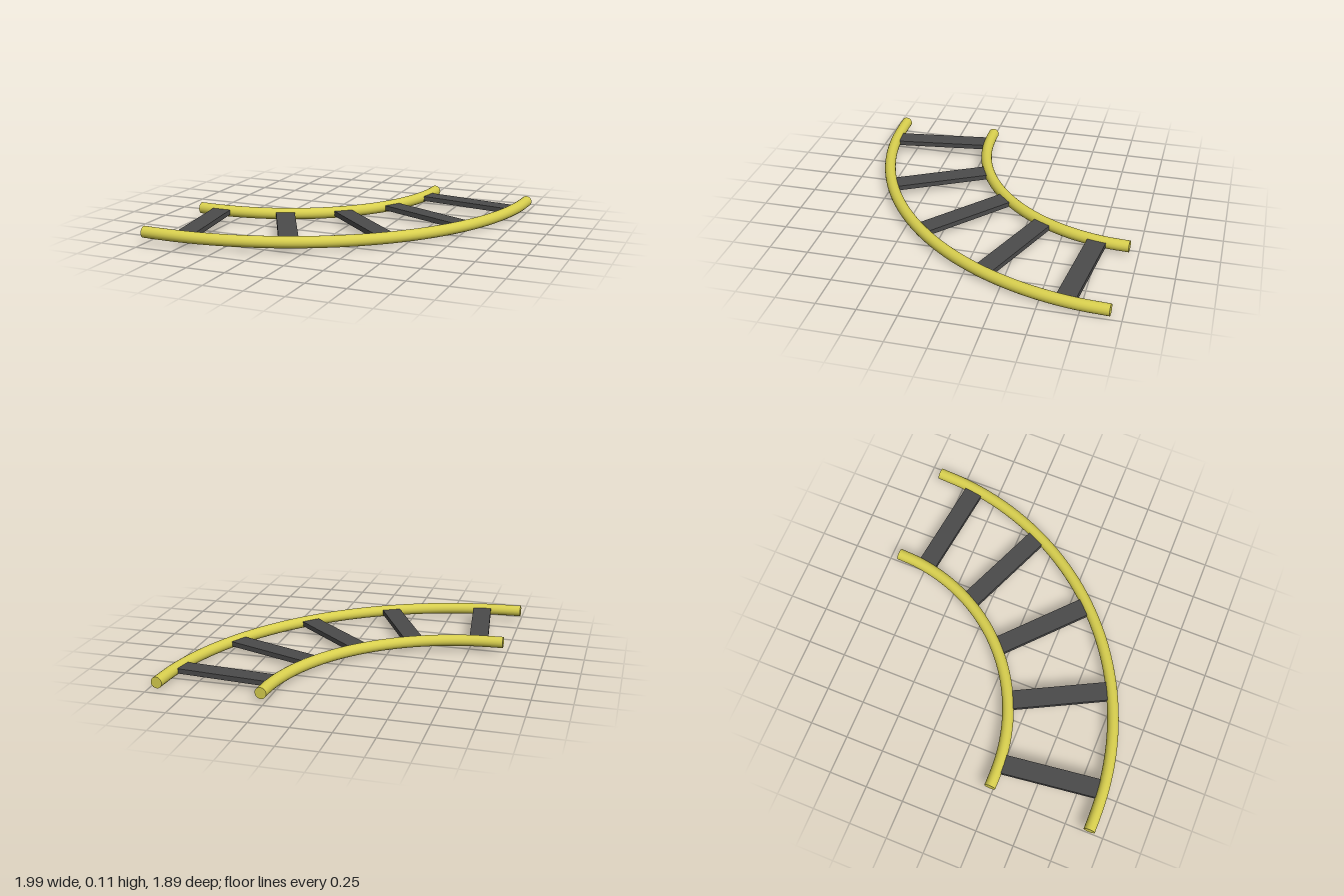
import * as THREE from 'three';

export function createModel() {
  const yellow = new THREE.MeshStandardMaterial({ color: 0xd8cf4e });
  yellow.name = 'yellow paint';
  const grey = new THREE.MeshStandardMaterial({ color: 0x4b4b4b });
  grey.name = 'dark grey';

  const model = new THREE.Group();
  model.name = 'curvedLadder';

  // Both rails bend around the same centre
  const cx = -0.9, cz = -0.95, tubeRadius = 0.037;

  // Round rail: short straight lead-in, then a quarter circle, with flat end caps
  function addRail(name, radius, startX, endZ) {
    const rail = new THREE.Group();
    rail.name = name;
    const points = [new THREE.Vector3(startX, 0, cz + radius)];
    const endAngle = Math.asin((endZ - cz) / radius);
    const steps = 14;
    for (let i = 0; i <= steps; i++) {
      const a = Math.PI / 2 + (endAngle - Math.PI / 2) * (i / steps);
      points.push(new THREE.Vector3(cx + radius * Math.cos(a), 0, cz + radius * Math.sin(a)));
    }
    const path = new THREE.CatmullRomCurve3(points);
    const tube = new THREE.Mesh(new THREE.TubeGeometry(path, 48, tubeRadius, 20), yellow);
    tube.name = name + 'Tube';
    rail.add(tube);
    for (const t of [0, 1]) {
      const cap = new THREE.Mesh(new THREE.CircleGeometry(tubeRadius, 20), yellow);
      cap.name = name + 'Cap';
      cap.position.copy(path.getPointAt(t));
      const outward = path.getTangentAt(t).multiplyScalar(t ? 1 : -1);
      cap.lookAt(cap.position.clone().add(outward));
      rail.add(cap);
    }
    model.add(rail);
  }
  addRail('outerRail', 1.855, -1.0, -0.928);
  addRail('innerRail', 1.182, -0.975, -0.942);

  // Flat rungs: inner x, z and outer x, z where each meets the rails
  const rungs = [
    [0.30, -0.735, 0.90, -0.66],
    [0.17, -0.36, 0.73, -0.13],
    [-0.075, -0.065, 0.37, 0.34],
    [-0.39, 0.16, -0.12, 0.68],
    [-0.81, 0.26, -0.735, 0.85],
  ];
  for (const [x0, z0, x1, z1] of rungs) {
    const length = Math.hypot(x1 - x0, z1 - z0) + 0.06;
    const rung = new THREE.Mesh(new THREE.BoxGeometry(length, 0.032, 0.122), grey);
    rung.name = 'rung';
    rung.position.set((x0 + x1) / 2, 0, (z0 + z1) / 2);
    rung.rotation.y = -Math.atan2(z1 - z0, x1 - x0);
    model.add(rung);
  }

  // The whole ladder leans slightly down towards +x
  model.rotation.z = -0.0195;
  model.position.y = 0.061;
  const root = new THREE.Group();
  root.name = 'ladder';
  root.add(model);
  return root;
}
